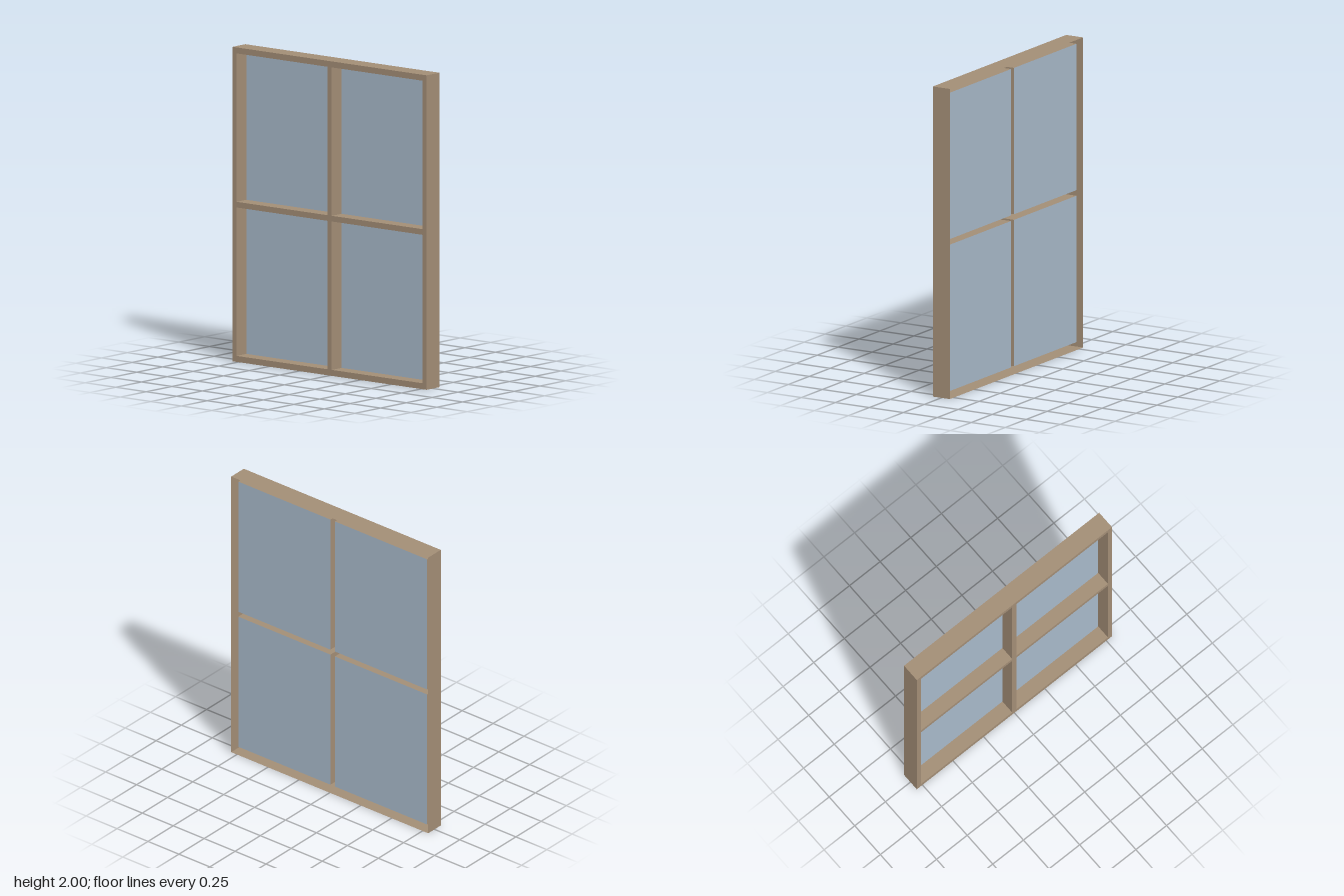
import * as THREE from 'three';
import { mergeGeometries } from 'three/addons/utils/BufferGeometryUtils.js';

const W = 0.796, H = 2, FRONT = 0.0625, BACK = -0.0625, GLASS_Z = -0.033;
const PANE_X = [[-0.763, -0.018], [0.018, 0.763]];
const PANE_Y = [[0.038, 0.982], [1.018, 1.962]];

// Open rectangular sleeve (four walls, no caps) running from z0 to z1
function sleeve(x0, x1, y0, y1, z0, z1) {
  const d = z1 - z0, cx = (x0 + x1) / 2, cy = (y0 + y1) / 2, cz = (z0 + z1) / 2;
  const walls = [];
  for (const s of [-1, 1]) {
    walls.push(new THREE.PlaneGeometry(d, y1 - y0).rotateY(s * Math.PI / 2)
      .translate(s > 0 ? x1 : x0, cy, cz));
    walls.push(new THREE.PlaneGeometry(x1 - x0, d).rotateX(-s * Math.PI / 2)
      .translate(cx, s > 0 ? y1 : y0, cz));
  }
  return mergeGeometries(walls);
}

function rectangle(path, x0, x1, y0, y1) {
  return path.moveTo(x0, y0).lineTo(x1, y0).lineTo(x1, y1).lineTo(x0, y1).closePath();
}

export function createModel() {
  const model = new THREE.Group();
  model.name = 'window';
  const wood = new THREE.MeshStandardMaterial({ color: 0xa38e76, side: THREE.DoubleSide });
  const glass = new THREE.MeshStandardMaterial({ color: 0xa8b9ca, side: THREE.DoubleSide });
  const add = (name, geometry, material) => {
    const mesh = new THREE.Mesh(geometry, material);
    mesh.name = name;
    model.add(mesh);
  };

  // Outer casing, hollow and open at the back
  add('outerFrame', sleeve(-W, W, 0, H, BACK, FRONT), wood);

  // Front face with four openings, each lined back to its pane
  const face = rectangle(new THREE.Shape(), -W, W, 0, H);
  for (const [x0, x1] of PANE_X) {
    for (const [y0, y1] of PANE_Y) {
      face.holes.push(rectangle(new THREE.Path(), x0, x1, y0, y1));
      add('paneReveal', sleeve(x0, x1, y0, y1, GLASS_Z, FRONT), wood);
      add('glassPane', new THREE.PlaneGeometry(x1 - x0, y1 - y0)
        .translate((x0 + x1) / 2, (y0 + y1) / 2, GLASS_Z), glass);
    }
  }
  add('frontFrame', new THREE.ShapeGeometry(face).translate(0, 0, FRONT), wood);

  return model;
}
